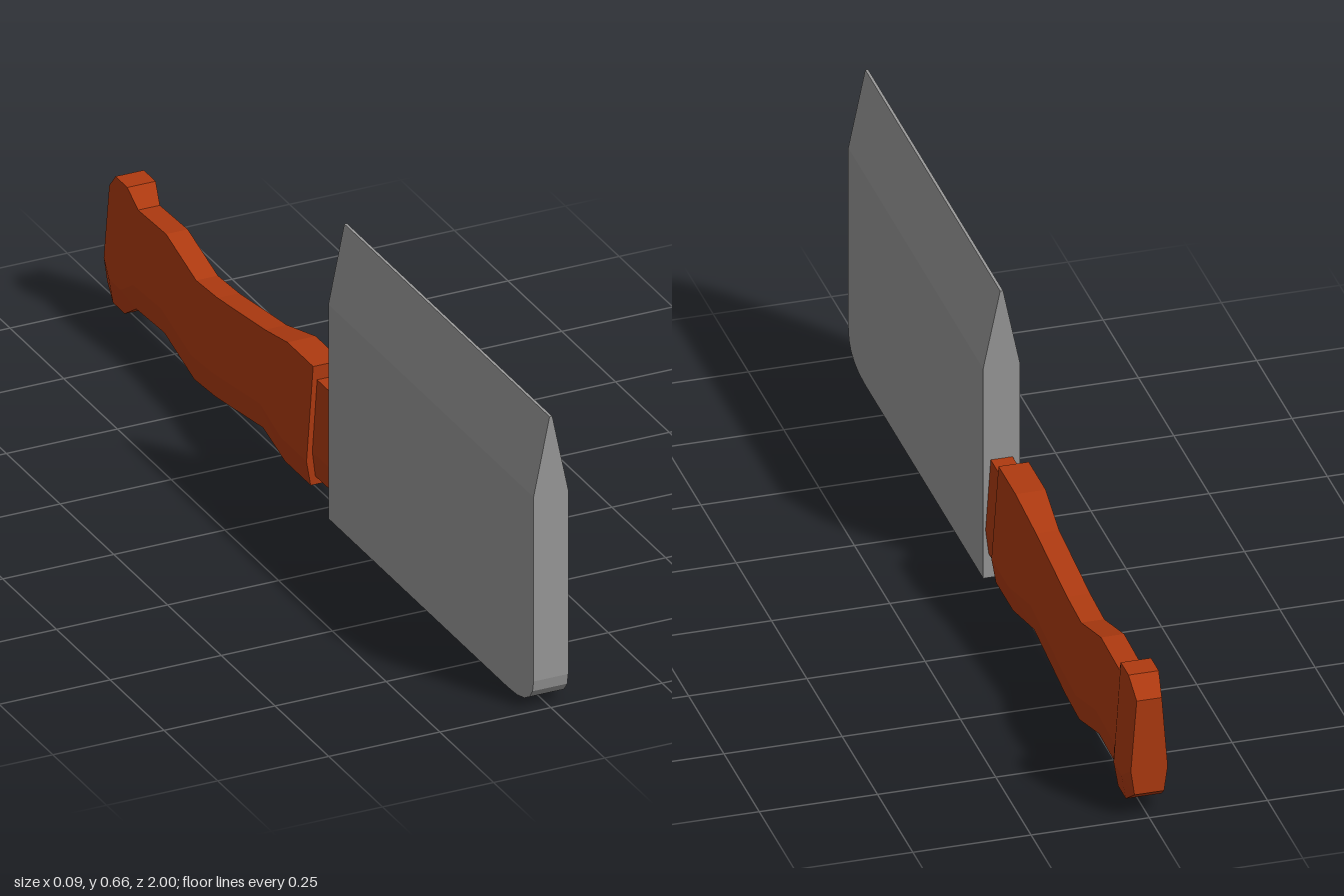
import * as THREE from 'three';

// Skin a closed solid through rings of [x, y, z] points.
// Each ring runs counter-clockwise seen from the first ring's outer side.
function loft(rings) {
  const n = rings[0].length, last = (rings.length - 1) * n, index = [];
  for (let k = 0; k < rings.length - 1; k++) {
    for (let i = 0; i < n; i++) {
      const a = k * n + i, b = k * n + (i + 1) % n;
      index.push(a, a + n, b, b, a + n, b + n);
    }
  }
  for (let i = 1; i < n - 1; i++) {
    index.push(0, i, i + 1, last, last + i + 1, last + i);
  }
  const geometry = new THREE.BufferGeometry();
  geometry.setAttribute('position', new THREE.Float32BufferAttribute(rings.flat(2), 3));
  geometry.setIndex(index);
  const flat = geometry.toNonIndexed();
  flat.computeVertexNormals();
  return flat;
}

// Horizontal slice of the blade
function bladeRing(y, w, front) {
  const back = 0.045;
  return [[-w, y, back], [-w, y, front], [w, y, front], [w, y, back]];
}

// Six-sided handle slice: widest low down, narrowing to a flat top and bottom
function handleRing([z, bottom, top, w]) {
  const t = w * 0.68, b = w * 0.8, ridge = bottom + 0.056;
  return [[b, bottom, z], [w, ridge, z], [t, top, z], [-t, top, z], [-w, ridge, z], [-b, bottom, z]];
}

export function createModel() {
  const group = new THREE.Group();
  const steel = new THREE.MeshStandardMaterial({ color: 0x999999, flatShading: true });
  const wood = new THREE.MeshStandardMaterial({ color: 0xae3a10, flatShading: true });

  const add = (name, rings, material) => {
    const mesh = new THREE.Mesh(loft(rings), material);
    mesh.name = name;
    group.add(mesh);
  };

  // Blade: tapered upper edge, thick body, rounded lower front corner
  const slices = [bladeRing(0.662, 0.003, 1), bladeRing(0.487, 0.039, 1)];
  const steps = 5;
  for (let i = 0; i <= steps; i++) {
    const t = i / steps;
    slices.push(bladeRing(0.068 * (1 - t) ** 2, 0.039, 1 - 0.12 * t ** 2));
  }
  add('blade', slices, steel);

  // Collar between blade and grip: [z, bottom, top, half width]
  add('collar', [[0.05, 0.055, 0.273, 0.034], [-0.05, 0.055, 0.273, 0.034]].map(handleRing), wood);

  // Grip with its wavy outline and flared pommel
  add('handle', [
    [-0.04, 0.036, 0.305, 0.047],
    [-0.16, 0.036, 0.305, 0.047],
    [-0.28, 0.055, 0.277, 0.036],
    [-0.5, 0.024, 0.248, 0.036],
    [-0.6, 0.018, 0.242, 0.036],
    [-0.74, 0.06, 0.283, 0.036],
    [-0.87, 0.054, 0.278, 0.036],
    [-0.905, 0.029, 0.315, 0.047],
    [-0.96, 0.029, 0.315, 0.047],
    [-1, 0.058, 0.275, 0.039],
  ].map(handleRing), wood);

  return group;
}
